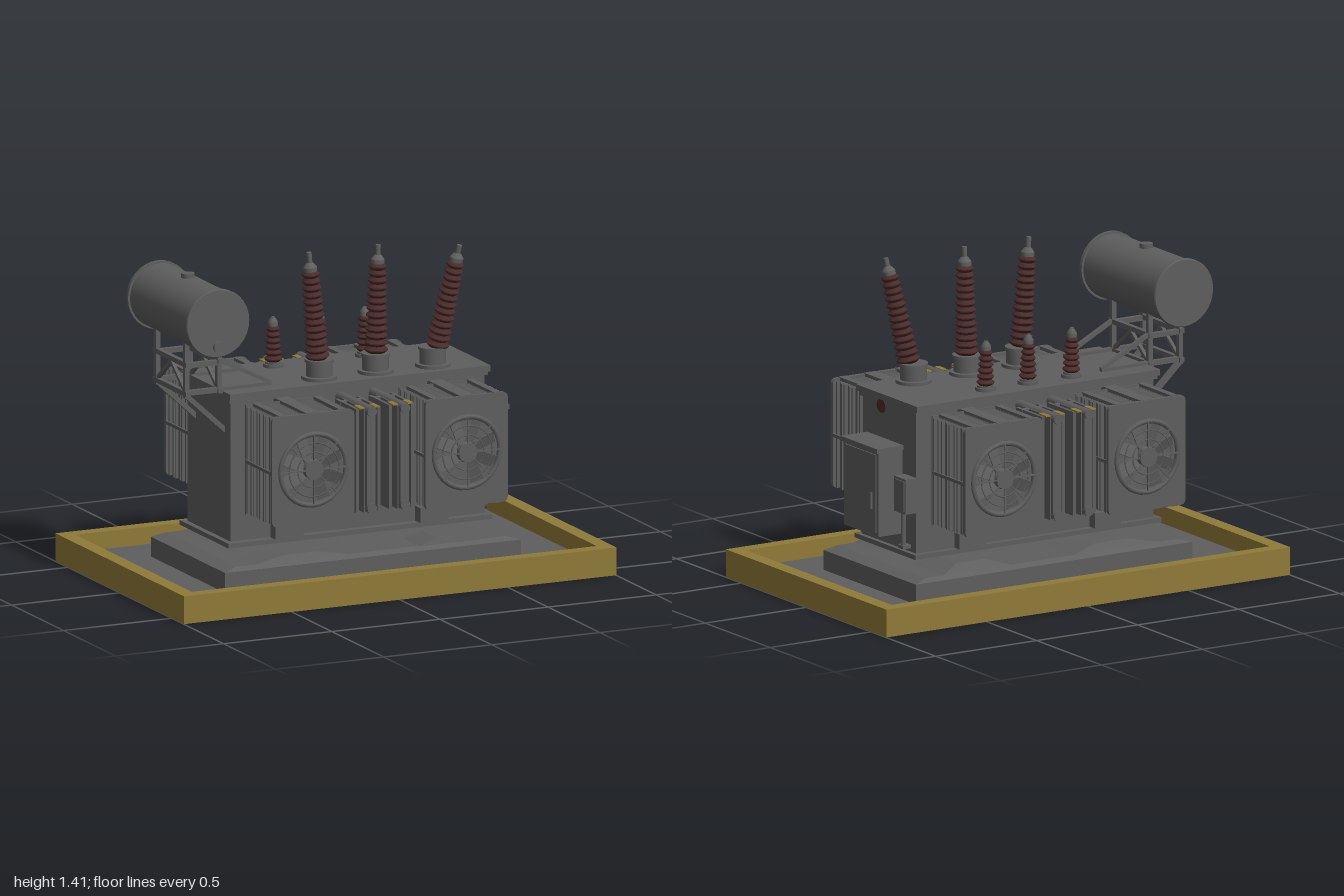
import * as THREE from 'three';
import { toCreasedNormals } from 'three/addons/utils/BufferGeometryUtils.js';

const mat = (name, color) => {
  const m = new THREE.MeshStandardMaterial({ color });
  m.name = name;
  return m;
};

export function createModel() {
  const grey = mat('grey steel', 0x5e5e5e);
  const yellow = mat('yellow paint', 0x8f7a38);
  const maroon = mat('maroon porcelain', 0x4a2b2b);
  const model = new THREE.Group();
  model.name = 'powerTransformer';
  const V = (x, y, z) => new THREE.Vector3(x, y, z);
  const UP = V(0, 1, 0);

  const add = (name, geo, m, parent = model, x = 0, y = 0, z = 0) => {
    const mesh = new THREE.Mesh(geo, m);
    mesh.name = name;
    mesh.position.set(x, y, z);
    parent.add(mesh);
    return mesh;
  };
  // Box given by its limits on each axis
  const box = (name, x0, x1, y0, y1, z0, z1, m = grey, parent = model) =>
    add(name, new THREE.BoxGeometry(x1 - x0, y1 - y0, z1 - z0), m, parent,
      (x0 + x1) / 2, (y0 + y1) / 2, (z0 + z1) / 2);
  // Box whose top is inset by dx and dz
  const frustum = (name, x0, x1, y0, y1, z0, z1, dx, dz, parent = model) => {
    const mesh = box(name, x0, x1, y0, y1, z0, z1, grey, parent);
    const p = mesh.geometry.attributes.position;
    for (let i = 0; i < p.count; i++) if (p.getY(i) > 0) {
      p.setX(i, p.getX(i) - Math.sign(p.getX(i)) * dx);
      p.setZ(i, p.getZ(i) - Math.sign(p.getZ(i)) * dz);
    }
    mesh.geometry = toCreasedNormals(mesh.geometry, 0.1);
    return mesh;
  };
  // Square bar or round pipe between two points
  const bar = (name, a, b, w, sides = 4, parent = model) => {
    const d = b.clone().sub(a);
    const geo = new THREE.CylinderGeometry(w, w, d.length(), sides);
    if (sides === 4) geo.rotateY(Math.PI / 4);
    const mesh = add(name, sides === 4 ? toCreasedNormals(geo, 0.5) : geo, grey, parent);
    mesh.position.copy(a).add(b).multiplyScalar(0.5);
    mesh.quaternion.setFromUnitVectors(UP, d.normalize());
    return mesh;
  };
  const lathe = (name, pts, m, parent, seg = 20) => add(name, toCreasedNormals(
    new THREE.LatheGeometry(pts.map(p => new THREE.Vector2(p[0], p[1])), seg), 0.5), m, parent);

  // Oil tray with painted kerb
  box('trayFloor', -0.99, 0.99, 0, 0.045, -0.61, 0.61);
  for (const s of [-1, 1]) {
    box('longKerb', -1, 1, 0.001, 0.12, s * 0.59 - 0.03, s * 0.59 + 0.03, yellow);
    box('shortKerb', s * 0.968 - 0.032, s * 0.968 + 0.032, 0.001, 0.12, -0.56, 0.56, yellow);
  }

  // Plinth with low pads
  box('plinth', -0.685, 0.685, 0.045, 0.13, -0.357, 0.357);
  frustum('plinthTop', -0.685, 0.685, 0.13, 0.147, -0.357, 0.357, 0.06, 0.02);
  frustum('frontPadLeft', 0.22, 0.54, 0.147, 0.175, 0.19, 0.345, 0.08, 0.01);
  frustum('frontPadRight', -0.54, -0.1, 0.147, 0.17, 0.19, 0.345, 0.14, 0.02);
  frustum('backPadLeft', 0.2, 0.54, 0.147, 0.175, -0.345, -0.09, 0.1, 0.06);
  frustum('backPadRight', -0.54, -0.1, 0.147, 0.17, -0.345, -0.12, 0.14, 0.05);

  // Tank
  box('tankFoot', -0.61, 0.61, 0.2, 0.22, -0.235, 0.235);
  box('tankBody', -0.585, 0.59, 0.22, 0.83, -0.21, 0.2);
  box('tankRim', -0.595, 0.6, 0.815, 0.832, -0.225, 0.215);
  box('tankLid', -0.6, 0.605, 0.832, 0.858, -0.24, 0.23);
  for (const x of [-0.335, 0.335]) for (const s of [-1, 1])
    box('jackingPad', x - 0.065, x + 0.065, 0.22, 0.285, s * 0.22 - 0.03, s * 0.22 + 0.03);
  const stain = add('rustPatch', new THREE.CylinderGeometry(0.03, 0.03, 0.004, 16), maroon, model, 0.602, 0.805, 0.04);
  stain.rotation.z = Math.PI / 2;
  stain.scale.z = 1.1;

  // One radiator bank, centred on x = 0, with fan on its outer face
  const radiator = () => {
    const g = new THREE.Group();
    g.name = 'fanRadiator';
    const n = 12;
    for (let i = 0; i < n; i++) {
      const z = 0.265 + i * 0.02, w = i % 3 === 1 ? 0.176 : 0.184;
      box('coolingFin', -w, w, 0.35, 0.805, z - 0.0035, z + 0.0035, grey, g);
    }
    for (const s of [-1, 1]) {
      box('sideStrap', s * 0.186 - 0.004, s * 0.186 + 0.004, 0.566, 0.58, 0.257, 0.51, grey, g);
      for (const y of [0.35, 0.81])
        box('edgeRail', s * 0.14 - 0.015, s * 0.14 + 0.015, y - 0.008, y + 0.008, 0.257, 0.515, grey, g);
    }
    box('upperHeader', -0.03, 0.03, 0.77, 0.818, 0.19, 0.515, grey, g);
    box('lowerHeader', -0.03, 0.03, 0.342, 0.38, 0.19, 0.515, grey, g);
    box('backPlate', -0.188, 0.188, 0.345, 0.815, 0.256, 0.262, grey, g);

    // Face panel with a round fan opening
    const shape = new THREE.Shape();
    const a = 0.19, b = 0.235, r = 0.025;
    shape.moveTo(-a + r, -b).lineTo(a - r, -b).quadraticCurveTo(a, -b, a, -b + r)
      .lineTo(a, b - r).quadraticCurveTo(a, b, a - r, b)
      .lineTo(-a + r, b).quadraticCurveTo(-a, b, -a, b - r)
      .lineTo(-a, -b + r).quadraticCurveTo(-a, -b, -a + r, -b);
    shape.holes.push(new THREE.Path().absarc(0, 0, 0.15, 0, Math.PI * 2, true));
    add('facePanel', new THREE.ExtrudeGeometry(shape, { depth: 0.018, bevelEnabled: false, curveSegments: 12 }),
      grey, g, 0, 0.58, 0.502);

    const fan = new THREE.Group();
    fan.name = 'fan';
    fan.position.set(0, 0.575, 0.522);
    g.add(fan);
    add('fanRing', new THREE.TorusGeometry(0.152, 0.011, 6, 32), grey, fan);
    for (const rr of [0.075, 0.115])
      add('guardRing', new THREE.TorusGeometry(rr, 0.003, 4, 28), grey, fan, 0, 0, 0.006);
    add('fanHub', new THREE.CylinderGeometry(0.042, 0.045, 0.024, 20).rotateX(Math.PI / 2), grey, fan);
    for (let i = 0; i < 8; i++) {
      const t = i * Math.PI / 4;
      const spoke = add('guardSpoke', new THREE.BoxGeometry(0.12, 0.006, 0.006), grey, fan,
        Math.cos(t) * 0.095, Math.sin(t) * 0.095, 0.007);
      spoke.rotation.z = t;
      const blade = add('fanBlade', new THREE.BoxGeometry(0.1, 0.055, 0.004).rotateX(0.35), grey, fan,
        Math.cos(t + 0.39) * 0.09, Math.sin(t + 0.39) * 0.09, -0.012);
      blade.rotation.z = t + 0.39;
    }
    return g;
  };

  // Narrow radiator between the fan banks
  const narrowRadiator = () => {
    const g = new THREE.Group();
    g.name = 'narrowRadiator';
    for (const x of [-0.05, -0.018, 0.018, 0.05])
      box('narrowFin', x - 0.007, x + 0.007, 0.355, 0.8, 0.27, 0.49 - Math.abs(x) * 0.4, grey, g);
    box('narrowSpine', -0.02, 0.02, 0.36, 0.79, 0.25, 0.5, grey, g);
    for (const y of [0.375, 0.79]) {
      bar('narrowHeader', V(0, y, 0.19), V(0, y, 0.51), 0.022, 12, g);
      box('narrowTie', -0.058, 0.058, y - 0.01, y + 0.01, 0.3, 0.32, grey, g);
    }
    for (const x of [-0.035, 0.035])
      box('yellowTab', x - 0.012, x + 0.012, 0.8, 0.806, 0.43, 0.485, yellow, g);
    return g;
  };

  // Same cooling set on front and back
  for (const turn of [0, Math.PI]) {
    const side = new THREE.Group();
    side.name = turn ? 'backCooling' : 'frontCooling';
    side.rotation.y = turn;
    for (const s of [-1, 1]) {
      const bank = radiator(), mid = narrowRadiator();
      bank.position.x = s * 0.355;
      mid.position.x = s * 0.077;
      side.add(bank, mid);
    }
    model.add(side);
  }

  // Ribbed insulator on a turret, standing on the lid and leaning towards a tip
  const bushing = (name, base, tip, k) => {
    const g = new THREE.Group();
    g.name = name;
    g.position.copy(base);
    model.add(g);
    lathe('mountFlange', [[0, 0], [k.turret * 1.35, 0], [k.turret * 1.35, 0.014], [k.turret, 0.014],
      [k.turret, k.y0 - 0.012], [k.turret * 1.1, k.y0 - 0.012], [k.turret * 1.1, k.y0], [0, k.y0]], grey, g);
    const lean = new THREE.Group();
    lean.name = 'insulator';
    const d = tip.clone().sub(base);
    const top = d.length();
    lean.quaternion.setFromUnitVectors(UP, d.normalize());
    g.add(lean);
    const pts = [[0, k.y0 - 0.01]], h = (k.y1 - k.y0) / k.n;
    for (let i = 0; i < k.n; i++) {
      const r = k.r0 + (k.r1 - k.r0) * i / (k.n - 1), y = k.y0 + i * h;
      pts.push([r * 0.72, y], [r, y + h * 0.4], [r, y + h * 0.55], [r * 0.72, y + h * 0.95]);
    }
    pts.push([0, k.y1]);
    lathe('sheds', pts, maroon, lean);
    const c = k.r1 * 0.75, e = c * 0.4;
    lathe('terminal', [[0, k.y1 - 0.005], [c, k.y1 - 0.005], [c, k.y1 + 0.015], [c * 0.6, k.y1 + 0.03],
      [e, k.y1 + 0.035], [e, top], [0, top]], grey, lean, 14);
  };
  const high = { turret: 0.056, y0: 0.085, y1: 0.47, n: 13, r0: 0.05, r1: 0.038 };
  const low = { turret: 0.032, y0: 0.022, y1: 0.175, n: 6, r0: 0.037, r1: 0.028 };
  for (const [x, tx, tz] of [[-0.14, -0.19, 0.135], [0.12, 0.13, 0.135], [0.385, 0.468, 0.215]])
    bushing('highVoltageBushing', V(x, 0.858, 0.13), V(tx, tx > 0.4 ? 1.385 : 1.405, tz), high);
  for (const x of [-0.22, -0.005, 0.205])
    bushing('lowVoltageBushing', V(x, 0.858, -0.145), V(x, 1.07, -0.15), low);

  // Oil conservator drum lying along z
  const drum = lathe('conservator', [[0, -0.293], [0.143, -0.293], [0.146, -0.288], [0.146, -0.272], [0.137, -0.272],
    [0.137, 0.272], [0.146, 0.272], [0.146, 0.288], [0.143, 0.293], [0, 0.293]], grey, model, 32);
  drum.rotation.x = Math.PI / 2;
  drum.position.set(-0.685, 1.185, 0);
  add('fillerCap', new THREE.CylinderGeometry(0.028, 0.028, 0.03, 16), grey, model, -0.685, 1.324, 0);
  const drain = add('drainPlug', new THREE.CylinderGeometry(0.024, 0.024, 0.012, 14), grey, model, -0.685, 1.085, 0.297);
  drain.rotation.x = Math.PI / 2;

  // Conservator support frame
  const w = 0.015;
  for (const z of [-0.14, 0.14]) {
    bar('outerPost', V(-0.76, 0.84, z), V(-0.76, 1.11, z), w);
    bar('innerPost', V(-0.61, 0.85, z), V(-0.61, 1.1, z), w);
    bar('frameBeam', V(-0.77, 0.862, z), V(-0.37, 0.862, z), w);
    bar('upperTie', V(-0.76, 0.98, z), V(-0.61, 0.98, z), w);
    bar('lowerStrut', V(-0.76, 0.85, z), V(-0.575, 0.68, z), w);
    bar('longBrace', V(-0.61, 0.99, z), V(-0.37, 0.868, z), w * 0.8);
  }
  for (const x of [-0.76, -0.61]) {
    for (const y of [0.86, 0.985]) bar('crossTie', V(x, y, -0.16), V(x, y, 0.16), w);
    for (const s of [-1, 1]) bar('crossBrace', V(x, 0.97, 0), V(x, 0.87, s * 0.13), w * 0.7);
  }

  // Control cabinet on the left end
  box('cabinet', 0.585, 0.71, 0.285, 0.645, -0.105, 0.16);
  box('cabinetRoof', 0.585, 0.722, 0.645, 0.665, -0.112, 0.167);
  box('cabinetDoor', 0.71, 0.716, 0.3, 0.635, -0.092, 0.147);
  box('doorHandle', 0.716, 0.724, 0.4, 0.47, -0.068, -0.058);
  const valve = add('drainValve', new THREE.CylinderGeometry(0.022, 0.022, 0.025, 16), grey, model, 0.6, 0.252, 0.162);
  valve.rotation.z = Math.PI / 2;

  // Small junction box with conduit
  box('junctionBox', 0.585, 0.645, 0.395, 0.545, -0.215, -0.125);
  box('junctionLid', 0.645, 0.65, 0.405, 0.535, -0.207, -0.133);
  bar('conduit', V(0.615, 0.24, -0.152), V(0.615, 0.4, -0.152), 0.011, 10);
  box('conduitFoot', 0.585, 0.63, 0.235, 0.25, -0.172, -0.132);

  return model;
}
